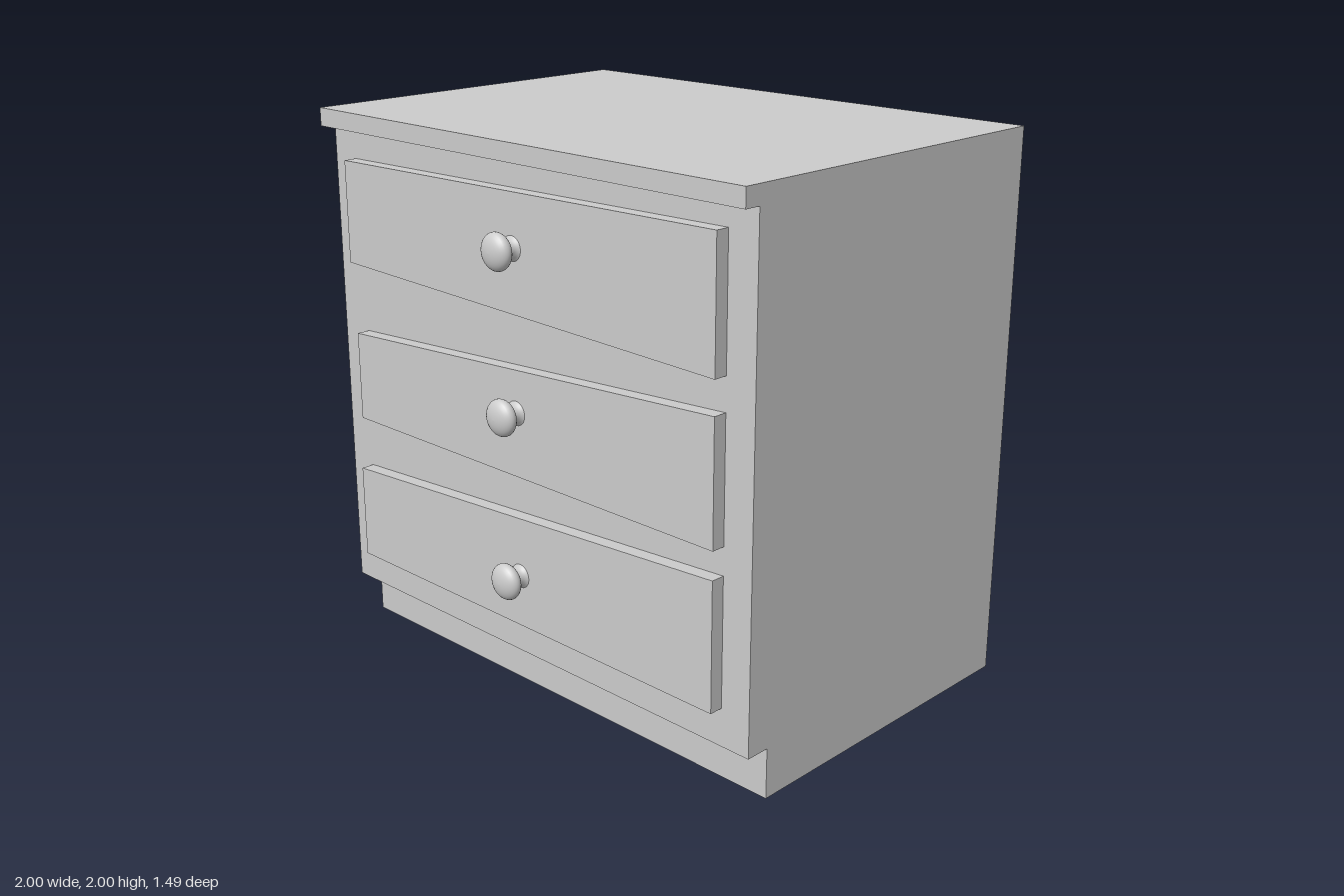
import * as THREE from 'three';

const grey = new THREE.MeshStandardMaterial({ color: 0xcccccc });

function shapeOf(points) {
  return new THREE.Shape(points.map(([x, y]) => new THREE.Vector2(x, y)));
}

function addMesh(parent, name, geometry) {
  const mesh = new THREE.Mesh(geometry, grey);
  mesh.name = name;
  parent.add(mesh);
  return mesh;
}

export function createModel() {
  const group = new THREE.Group();
  group.name = 'chestOfDrawers';

  // Cabinet: side profile (z, y) with toe kick and top lip, extruded across x
  const side = shapeOf([
    [-0.745, 0], [0.505, 0], [0.505, 0.18], [0.595, 0.18],
    [0.595, 1.935], [0.655, 1.935], [0.655, 2], [-0.745, 2],
  ]);
  const cabinet = new THREE.ExtrudeGeometry(side, { depth: 2, bevelEnabled: false });
  cabinet.rotateY(-Math.PI / 2).translate(1, 0, 0);
  addMesh(group, 'cabinet', cabinet);

  // Knob: flared neck and flattened round head, turned about z
  const profile = [[0.044, 0], [0.035, 0.008], [0.031, 0.02], [0.031, 0.033]]
    .map(([r, h]) => new THREE.Vector2(r, h));
  for (let i = 0; i <= 14; i++) {
    const a = THREE.MathUtils.lerp(-1.07, Math.PI / 2, i / 14);
    profile.push(new THREE.Vector2(Math.max(0, 0.065 * Math.cos(a)), 0.065 + 0.036 * Math.sin(a)));
  }
  const knob = new THREE.LatheGeometry(profile, 32).rotateX(Math.PI / 2);

  // Crooked drawer fronts: left/right edges and the heights of their corners
  const drawers = [
    { name: 'top', x: [-0.885, 0.885], low: [1.455, 1.412], high: [1.825, 1.857], knobY: 1.655 },
    { name: 'middle', x: [-0.865, 0.885], low: [0.867, 0.867], high: [1.193, 1.298], knobY: 1.094 },
    { name: 'bottom', x: [-0.885, 0.885], low: [0.315, 0.315], high: [0.662, 0.77], knobY: 0.503 },
  ];
  for (const { name, x, low, high, knobY } of drawers) {
    const front = shapeOf([[x[0], low[0]], [x[1], low[1]], [x[1], high[1]], [x[0], high[0]]]);
    const panel = new THREE.ExtrudeGeometry(front, { depth: 0.055, bevelEnabled: false });
    addMesh(group, name + 'DrawerFront', panel).position.z = 0.59;
    addMesh(group, name + 'Knob', knob).position.set(0, knobY, 0.644);
  }
  return group;
}
